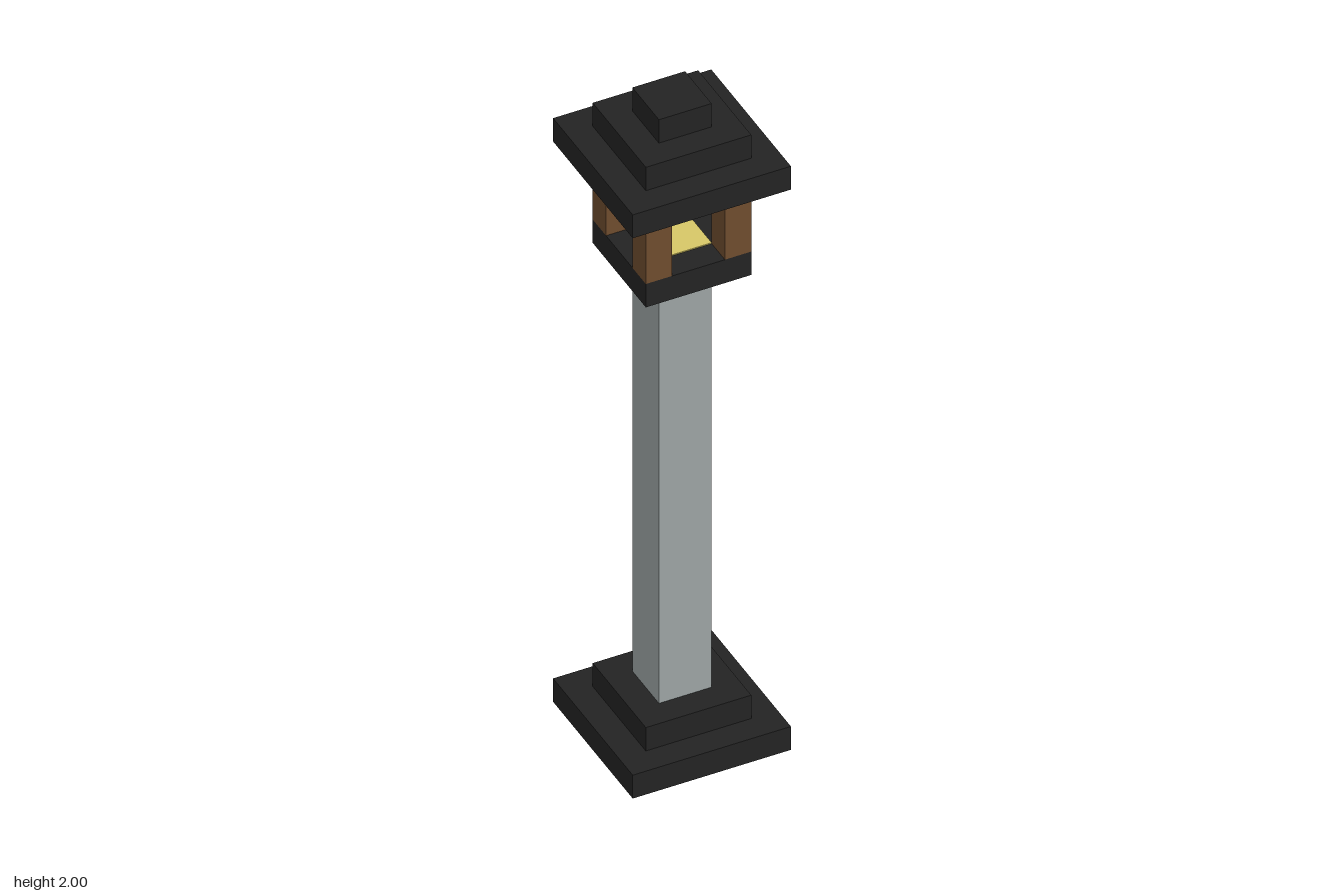
import * as THREE from 'three';

const U = 2 / 27; // one block; the lamp is 27 blocks tall

export function createModel() {
  const mat = (name, color) => {
    const m = new THREE.MeshStandardMaterial({ color });
    m.name = name;
    return m;
  };
  const iron = mat('black iron', 0x232323);
  const stone = mat('grey stone', 0x9ca4a4);
  const wood = mat('brown wood', 0x6e4c2e);
  const glow = mat('yellow glow', 0xd8c868);

  const model = new THREE.Group();
  model.name = 'lampPost';

  // Square block, sizes in block units, y is its underside
  const block = (name, material, width, height, y, x = 0, z = 0) => {
    const mesh = new THREE.Mesh(new THREE.BoxGeometry(width * U, height * U, width * U), material);
    mesh.position.set(x * U, (y + height / 2) * U, z * U);
    mesh.name = name;
    model.add(mesh);
  };

  // Stepped base and shaft
  block('baseLower', iron, 6, 1, 0);
  block('baseUpper', iron, 4, 1, 1);
  block('shaft', stone, 2, 18, 2);

  // Lantern floor and corner posts
  block('lanternFloor', iron, 4, 1, 20);
  for (const x of [-1.5, 1.5])
    for (const z of [-1.5, 1.5]) block('cornerPost', wood, 1, 3, 21, x, z);

  // Glowing plates on the lantern's floor and ceiling
  block('floorGlow', glow, 2, 0.04, 21);
  block('ceilingGlow', glow, 2, 0.04, 23.96);

  // Stepped roof
  block('roofEaves', iron, 6, 1, 24);
  block('roofMiddle', iron, 4, 1, 25);
  block('roofCap', iron, 2, 1, 26);

  return model;
}
